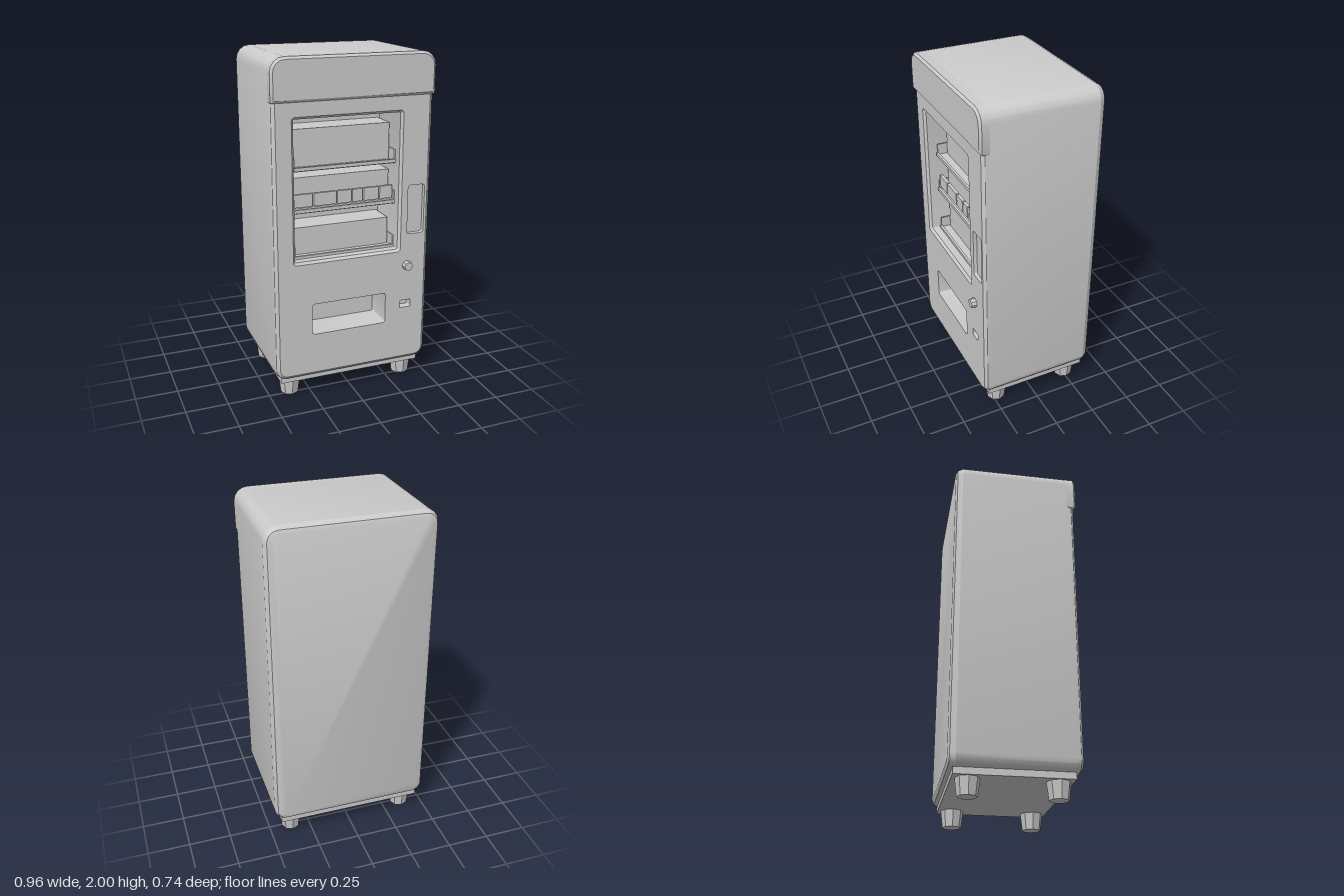
import * as THREE from 'three';
import { toCreasedNormals } from 'three/addons/utils/BufferGeometryUtils.js';

const material = new THREE.MeshStandardMaterial({ color: 0xcccccc });
const FRONT = 0.34;

// Rounded rectangle, counter-clockwise; r holds the bottom and top corner radii
function outline({ x0, x1, y0, y1, r }, inset = 0, steps = 4) {
  const [rb, rt] = r;
  const corners = [
    [x1 - rb, y0 + rb, rb, -90], [x1 - rt, y1 - rt, rt, 0],
    [x0 + rt, y1 - rt, rt, 90], [x0 + rb, y0 + rb, rb, 180],
  ];
  const points = [];
  for (const [cx, cy, radius, start] of corners) {
    // Small corners slide inwards once the inset uses up their radius
    const rr = Math.max(radius - inset, 0.004);
    const slip = inset - (radius - rr);
    const sx = Math.sign((x0 + x1) / 2 - cx) * slip;
    const sy = Math.sign((y0 + y1) / 2 - cy) * slip;
    for (let i = 0; i <= steps; i++) {
      const a = THREE.MathUtils.degToRad(start + (90 * i) / steps);
      points.push(new THREE.Vector2(cx + sx + rr * Math.cos(a), cy + sy + rr * Math.sin(a)));
    }
  }
  return points;
}

// Skin a rounded rectangle through [z, inset] sections; falling z makes a pocket
function loft(rect, sections, { startCap = false, endCap = false } = {}) {
  const rings = sections.map(([z, inset]) =>
    outline(rect, inset).map((p) => new THREE.Vector3(p.x, p.y, z)));
  const n = rings[0].length;
  const tris = [];
  for (let k = 0; k < rings.length - 1; k++) {
    for (let i = 0; i < n; i++) {
      const j = (i + 1) % n;
      const a = rings[k][i], b = rings[k][j], c = rings[k + 1][j], d = rings[k + 1][i];
      tris.push(a, b, c, a, c, d);
    }
  }
  const first = rings[0], last = rings[rings.length - 1];
  for (let i = 1; i < n - 1; i++) {
    if (startCap) tris.push(first[0], first[i + 1], first[i]);
    if (endCap) tris.push(last[0], last[i], last[i + 1]);
  }
  return toCreasedNormals(new THREE.BufferGeometry().setFromPoints(tris), 0.45);
}

export function createModel() {
  const model = new THREE.Group();
  model.name = 'vendingMachine';

  function add(name, geometry, x = 0, y = 0, z = 0, parent = model) {
    const mesh = new THREE.Mesh(geometry, material);
    mesh.name = name;
    mesh.position.set(x, y, z);
    parent.add(mesh);
    return mesh;
  }
  // Box given by its limits
  function block(name, x0, x1, y0, y1, z0, z1, parent) {
    return add(name, new THREE.BoxGeometry(x1 - x0, y1 - y0, z1 - z0),
      (x0 + x1) / 2, (y0 + y1) / 2, (z0 + z1) / 2, parent);
  }

  // Cabinet shell: softened back edge, narrow rim at the front
  const body = { x0: -0.48, x1: 0.48, y0: 0.13, y1: 2, r: [0.07, 0.08] };
  const rim = 0.025;
  add('cabinet', loft(body, [
    [-0.37, 0.04], [-0.36, 0.016], [-0.33, 0], [0.3, 0], [0.325, 0.007], [FRONT, rim],
  ], { startCap: true }));

  // Openings in the door and the pockets behind them
  const openings = {
    displayWindow: {
      rect: { x0: -0.365, x1: 0.295, y0: 0.84, y1: 1.68, r: [0.02, 0.02] },
      sections: [[FRONT, 0], [0.325, 0.014], [0.05, 0.018]],
    },
    deliveryTray: {
      rect: { x0: -0.255, x1: 0.205, y0: 0.4, y1: 0.59, r: [0.015, 0.015] },
      sections: [[FRONT, 0], [0.16, 0.004]],
    },
    paymentRecess: {
      rect: { x0: 0.335, x1: 0.44, y0: 0.945, y1: 1.24, r: [0.015, 0.015] },
      sections: [[FRONT, 0], [0.32, 0.003]],
    },
    coinReturn: {
      rect: { x0: 0.3, x1: 0.37, y0: 0.48, y1: 0.527, r: [0.005, 0.005] },
      sections: [[FRONT, 0], [0.29, 0]],
    },
  };
  const door = new THREE.Shape(outline(body, rim));
  for (const [name, { rect, sections }] of Object.entries(openings)) {
    door.holes.push(new THREE.Path(outline(rect)));
    add(name, loft(rect, sections, { endCap: true }));
  }
  add('doorPanel', new THREE.ShapeGeometry(door), 0, 0, FRONT);

  // Header sign box standing proud of the door
  const header = { x0: -0.48, x1: 0.48, y0: 1.76, y1: 2, r: [0.005, 0.08] };
  add('header', loft(header, [[0.29, 0], [0.343, 0], [0.355, 0.014]], { startCap: true, endCap: true }));

  // Shelves with end brackets and a row of goods each
  const rows = [[0.845, 1.02], [1.12, 1.315], [1.362, 1.59]];
  rows.forEach(([y, top], i) => {
    const row = new THREE.Group();
    row.name = `shelfRow${i + 1}`;
    model.add(row);
    block('shelf', -0.345, 0.28, y, y + 0.014, 0.05, 0.27, row);
    block('shelfLip', -0.335, 0.28, y + 0.005, y + 0.025, 0.265, 0.28, row);
    block('goods', -0.32, 0.265, y + 0.014, top, 0.05, 0.215, row);
    for (const x of [-0.337, 0.272]) {
      block('shelfBracket', x, x + 0.008, y + 0.014, y + 0.08, 0.2, 0.272, row);
    }
  });

  // Selection tags along the middle shelf
  const tagEdges = [-0.332, -0.215, -0.072, 0.02, 0.09, 0.19, 0.275];
  for (let i = 0; i < 6; i++) {
    block('selectionTag', tagEdges[i], tagEdges[i + 1] - 0.008, 1.155, 1.23, 0.245, 0.265);
  }

  // Lock knob
  const knob = new THREE.CylinderGeometry(0.026, 0.031, 0.04, 8).rotateX(Math.PI / 2);
  add('lockKnob', toCreasedNormals(knob, 0.3), 0.34, 0.75, 0.35);

  // Plinth and four tapered feet
  block('plinth', -0.44, 0.44, 0.098, 0.135, -0.34, 0.305);
  const foot = toCreasedNormals(new THREE.CylinderGeometry(0.07, 0.055, 0.12, 8), 0.3);
  for (const x of [-0.365, 0.365]) {
    for (const z of [0.225, -0.255]) add('foot', foot, x, 0.06, z);
  }

  // Underside of the cabinet above the plinth
  block('cabinetFloor', -0.41, 0.41, 0.13, 0.15, -0.32, 0.31);
  return model;
}
